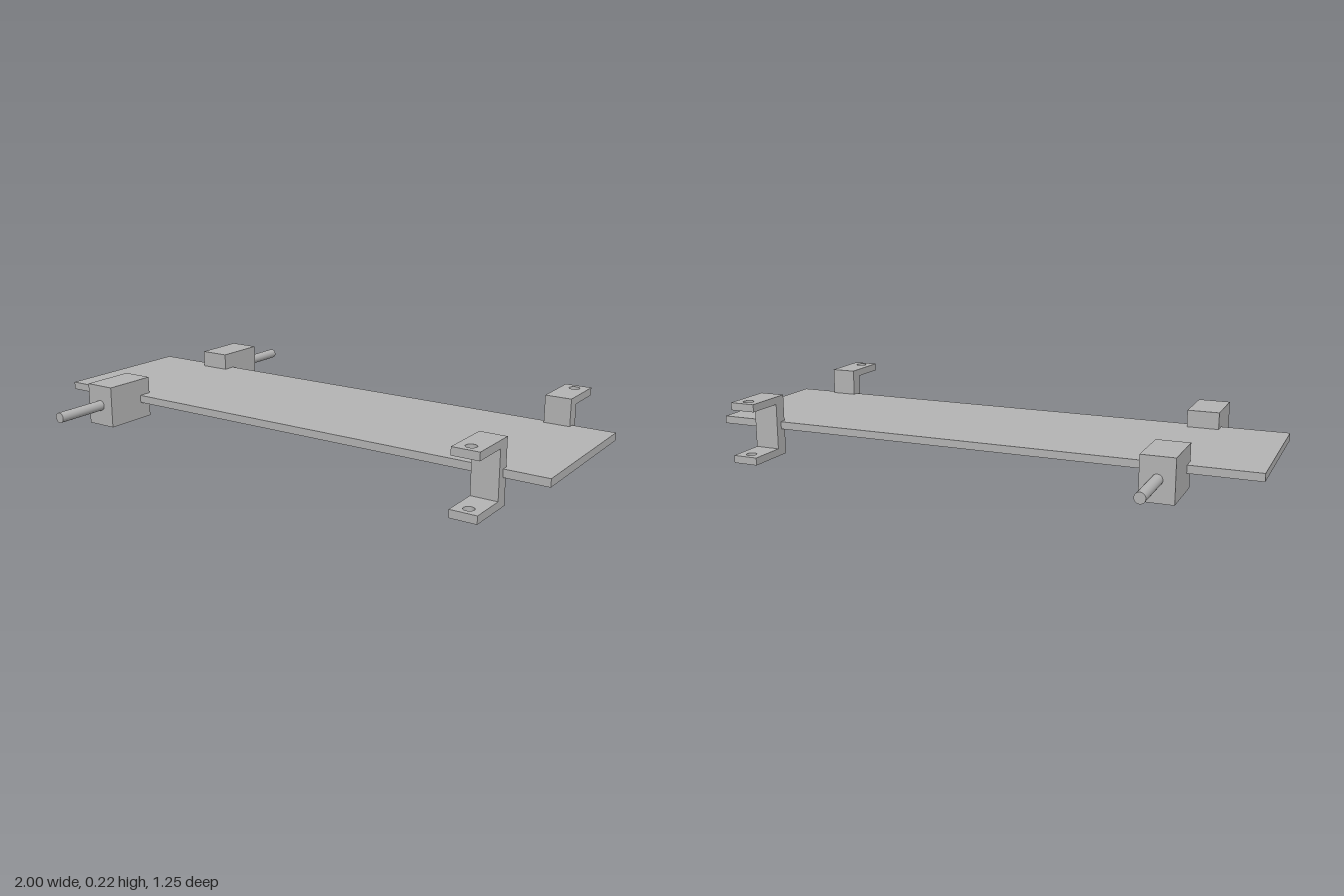
import * as THREE from 'three';

const MID = 0.111; // height of the plate's centre
const THICK = 0.0275; // sheet thickness

const grey = new THREE.MeshStandardMaterial({ color: 0xb2b2b2 });
grey.name = 'grey metal';

function part(name, geometry, x, y, z) {
  const mesh = new THREE.Mesh(geometry, grey);
  mesh.name = name;
  mesh.position.set(x, y, z);
  return mesh;
}

// Block with a round axle pointing outwards along +z
function makeAxleMount() {
  const group = new THREE.Group();
  group.add(part('axleBlock', new THREE.BoxGeometry(0.115, 0.15, 0.198), 0, MID, 0.326));
  const axle = new THREE.CylinderGeometry(0.0185, 0.0185, 0.2, 32).rotateX(Math.PI / 2);
  group.add(part('axle', axle, 0, MID, 0.523));
  return group;
}

// U-shaped bracket opening outwards along +z, with a bolt hole in each flange
function makeBracket() {
  const group = new THREE.Group();
  const w = 0.047, z0 = 0.253, z1 = 0.438, height = MID * 2;
  const outline = new THREE.Shape([
    new THREE.Vector2(-w, z0), new THREE.Vector2(w, z0),
    new THREE.Vector2(w, z1), new THREE.Vector2(-w, z1),
  ]);
  outline.holes.push(new THREE.Path().absarc(0, 0.4, 0.0185, 0, Math.PI * 2, true));
  const flange = new THREE.ExtrudeGeometry(outline, { depth: THICK, bevelEnabled: false, curveSegments: 32 });
  flange.rotateX(Math.PI / 2); // lies flat, extending down from its top face
  group.add(part('lowerFlange', flange, 0, THICK, 0));
  group.add(part('upperFlange', flange, 0, height, 0));
  const web = new THREE.BoxGeometry(w * 2, height - THICK * 2, 0.047);
  group.add(part('bracketWeb', web, 0, MID, z0 + 0.0235));
  return group;
}

export function createModel() {
  const model = new THREE.Group();
  model.name = 'chassis';
  model.add(part('basePlate', new THREE.BoxGeometry(2, THICK, 0.55), 0, MID, 0));

  // Both fittings repeat on the front and back edges
  for (const [side, angle] of [['front', 0], ['back', Math.PI]]) {
    const mount = makeAxleMount();
    mount.name = side + 'AxleMount';
    mount.position.x = -0.7;
    mount.rotation.y = angle;

    const bracket = makeBracket();
    bracket.name = side + 'Bracket';
    bracket.position.x = 0.8;
    bracket.rotation.y = angle;

    model.add(mount, bracket);
  }
  return model;
}
